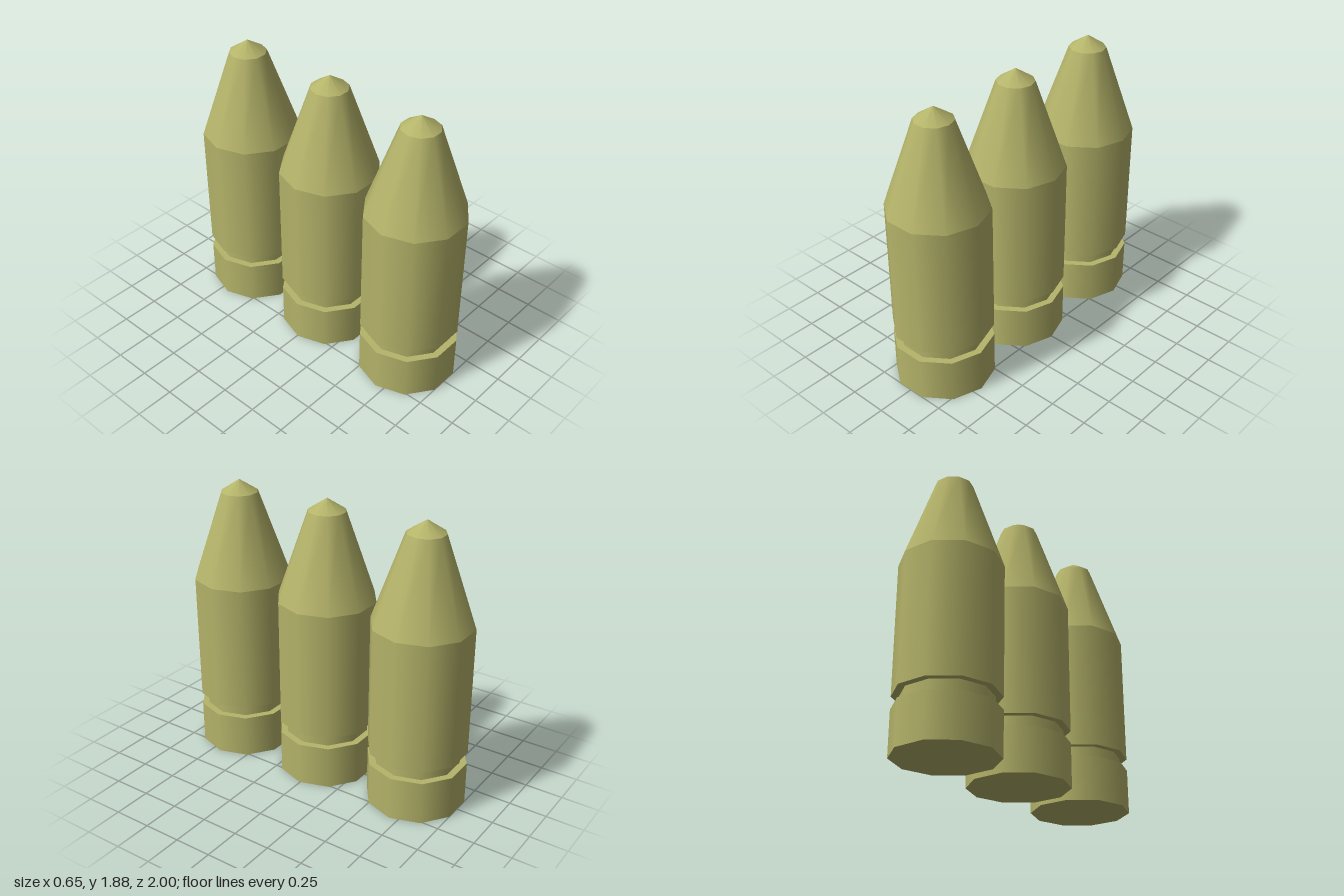
import * as THREE from 'three';

const SIDES = 10;

// Each section: name, bottom radius, top radius, bottom y, top y, open ended
const SECTIONS = [
  ['rimBase', 0.324, 0.324, 0, 0.29, false],
  ['extractorGroove', 0.278, 0.278, 0.29, 0.37, true],
  ['casingBody', 0.324, 0.324, 0.37, 1.225, false],
  ['taperedNose', 0.324, 0.122, 1.225, 1.8, true],
  ['pointedTip', 0.122, 0, 1.8, 1.88, true],
];

function createRound(material) {
  const round = new THREE.Group();
  for (const [name, rBottom, rTop, y0, y1, open] of SECTIONS) {
    // Start a quarter turn round so corners lie on the x axis
    const geometry = new THREE.CylinderGeometry(rTop, rBottom, y1 - y0, SIDES, 1, open, Math.PI / 2);
    const mesh = new THREE.Mesh(geometry, material);
    mesh.name = name;
    mesh.position.y = (y0 + y1) / 2;
    round.add(mesh);
  }
  return round;
}

export function createModel() {
  const model = new THREE.Group();
  model.name = 'bulletRow';
  const brass = new THREE.MeshStandardMaterial({ color: 0xb5b46a });
  brass.name = 'olive brass';

  // Three rounds standing in a row from front to back
  const places = [['frontBullet', 0.692], ['middleBullet', 0.005], ['backBullet', -0.692]];
  for (const [name, z] of places) {
    const round = createRound(brass);
    round.name = name;
    round.position.z = z;
    model.add(round);
  }
  return model;
}
